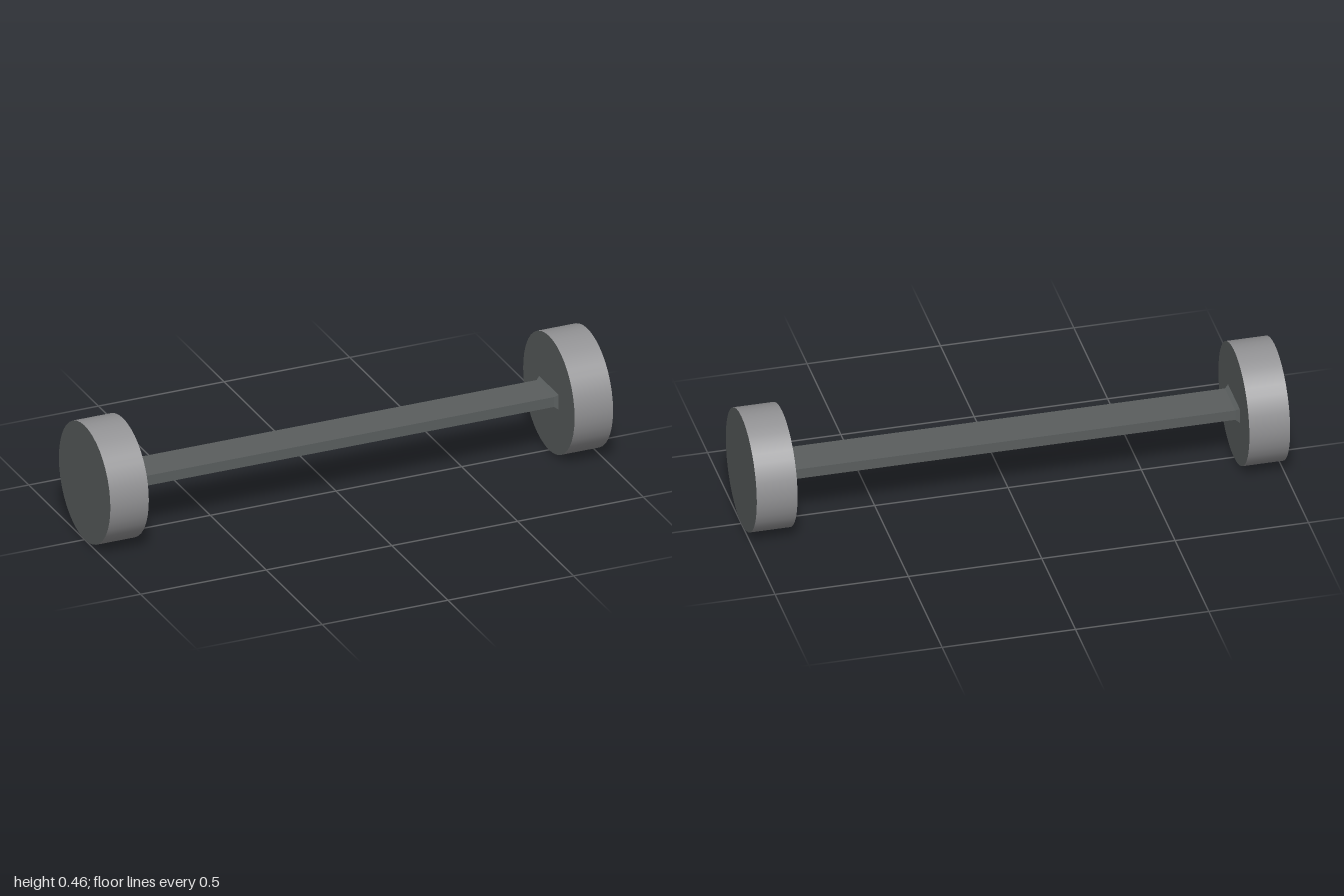
import * as THREE from 'three';

export function createModel() {
  const model = new THREE.Group();
  const bodyMat = new THREE.MeshStandardMaterial({ color: 0x5a5e5e });
  bodyMat.name = 'dark grey';
  const rimMat = new THREE.MeshStandardMaterial({ color: 0x929294 });
  rimMat.name = 'light grey';

  const R = 0.23, WIDTH = 0.153, INNER = 1 - WIDTH;
  const BAR_H = 0.04, BAR_D = 0.156, FLARE = 0.014;

  const add = (geometry, material, name, x) => {
    const mesh = new THREE.Mesh(geometry, material);
    mesh.name = name;
    mesh.position.set(x, R, 0);
    model.add(mesh);
  };

  // Flat bar between the discs
  add(new THREE.BoxGeometry(2 * (INNER - FLARE), BAR_H, BAR_D), bodyMat, 'bar', 0);

  for (const side of [1, -1]) {
    const label = side > 0 ? 'left' : 'right';

    // End disc: smooth light rim with dark flat faces
    const disc = new THREE.CylinderGeometry(R, R, WIDTH, 40);
    disc.rotateZ(Math.PI / 2);
    add(disc, [rimMat, bodyMat, bodyMat], label + 'Disc', side * (1 - WIDTH / 2));

    // Collar: widens from the bar to the disc
    const collar = new THREE.BoxGeometry(FLARE, BAR_H, BAR_D);
    const p = collar.attributes.position;
    for (let i = 0; i < p.count; i++) {
      if (p.getX(i) * side > 0) {
        p.setY(i, Math.sign(p.getY(i)) * 0.03);
        p.setZ(i, Math.sign(p.getZ(i)) * 0.087);
      }
    }
    collar.computeVertexNormals();
    add(collar, bodyMat, label + 'Collar', side * (INNER - FLARE / 2));
  }
  return model;
}
